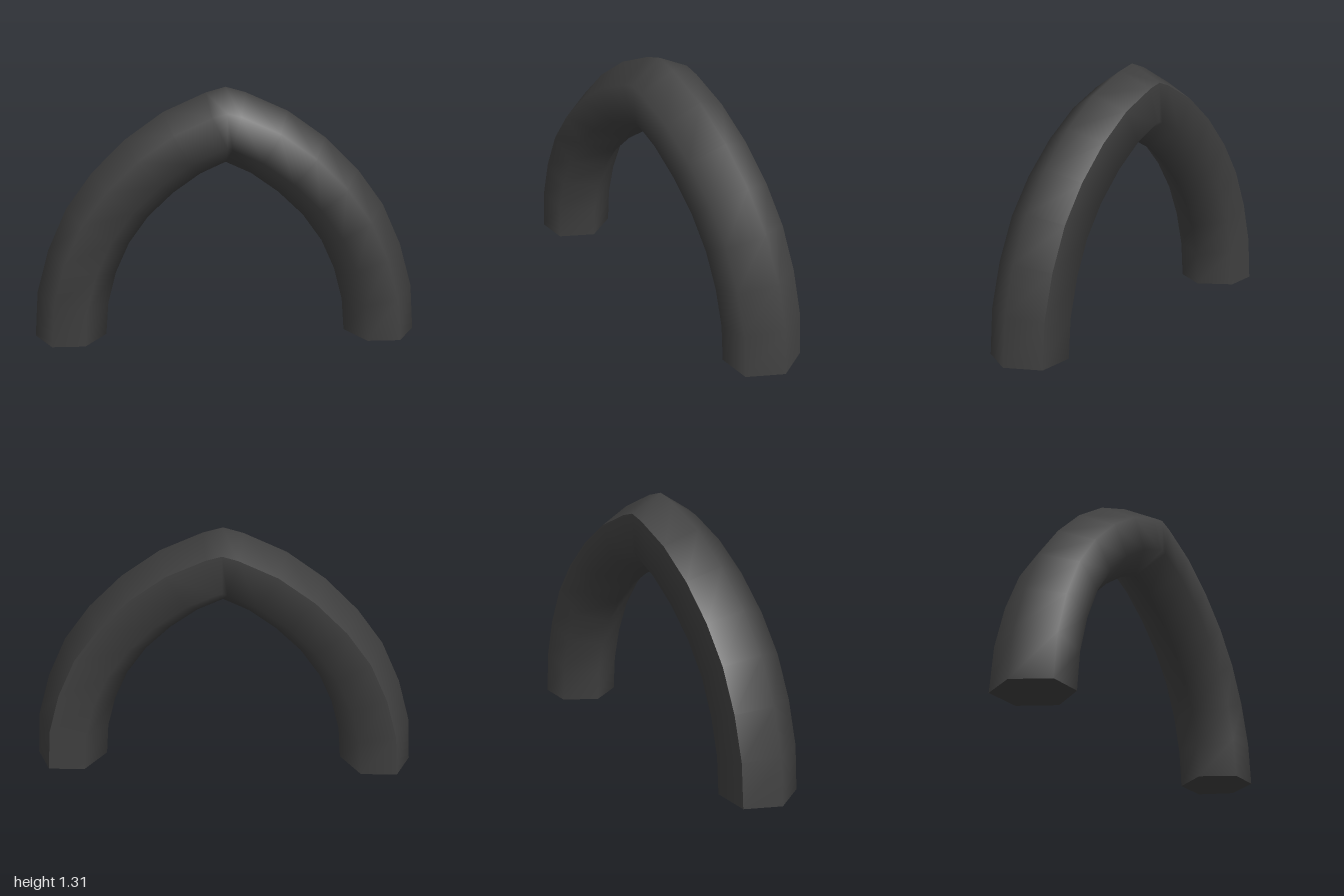
import * as THREE from 'three';

// Half profile of the pointed arch, foot to peak, as [outer x, y, inner x, y]
const HALF = [
  [1, 0, 0.63, 0],
  [0.98, 0.24, 0.615, 0.175],
  [0.915, 0.47, 0.57, 0.345],
  [0.815, 0.69, 0.5, 0.5],
  [0.68, 0.875, 0.4, 0.64],
  [0.51, 1.045, 0.27, 0.765],
  [0.315, 1.185, 0.13, 0.865],
  [0.1, 1.282, 0, 0.925],
];
const PEAK = [0, 1.31, 0, 0.925];

// Six-sided section: [fraction from inner to outer edge, z]; last closes the seam
const SECTION = [
  [0.78, -0.17], [1, 0], [0.73, 0.17], [0.27, 0.17], [0, 0], [0.27, -0.17], [0.78, -0.17],
];

function makeGeometry(positions, index) {
  const geometry = new THREE.BufferGeometry();
  geometry.setAttribute('position', new THREE.Float32BufferAttribute(positions, 3));
  geometry.setIndex(index);
  geometry.computeVertexNormals();
  return geometry;
}

export function createModel() {
  const group = new THREE.Group();
  group.name = 'pointedArch';
  const material = new THREE.MeshStandardMaterial({ color: 0x404040 });

  // Rings run up one leg, over the peak and down the mirrored leg
  const mirrored = HALF.map(([ox, oy, ix, iy]) => [-ox, oy, -ix, iy]).reverse();
  const rings = [...HALF, PEAK, ...mirrored].map(([ox, oy, ix, iy]) =>
    SECTION.map(([f, z]) => [ix + (ox - ix) * f, iy + (oy - iy) * f, z]));

  // Smooth swept body
  const n = SECTION.length;
  const index = [];
  for (let i = 0; i < rings.length - 1; i++) {
    for (let j = 0; j < n - 1; j++) {
      const a = i * n + j, b = a + 1, up = a + n, upB = up + 1;
      index.push(a, up, b, b, up, upB);
    }
  }
  const body = new THREE.Mesh(makeGeometry(rings.flat(2), index), material);
  body.name = 'archBody';
  group.add(body);

  // Flat undersides of the feet
  const addFoot = (ring, name) => {
    const fan = [];
    for (let j = 1; j < n - 2; j++) fan.push(0, j, j + 1);
    const foot = new THREE.Mesh(makeGeometry(ring.flat(), fan), material);
    foot.name = name;
    group.add(foot);
  };
  addFoot(rings[0], 'leftFoot');
  addFoot([...rings[rings.length - 1]].reverse(), 'rightFoot');

  return group;
}
